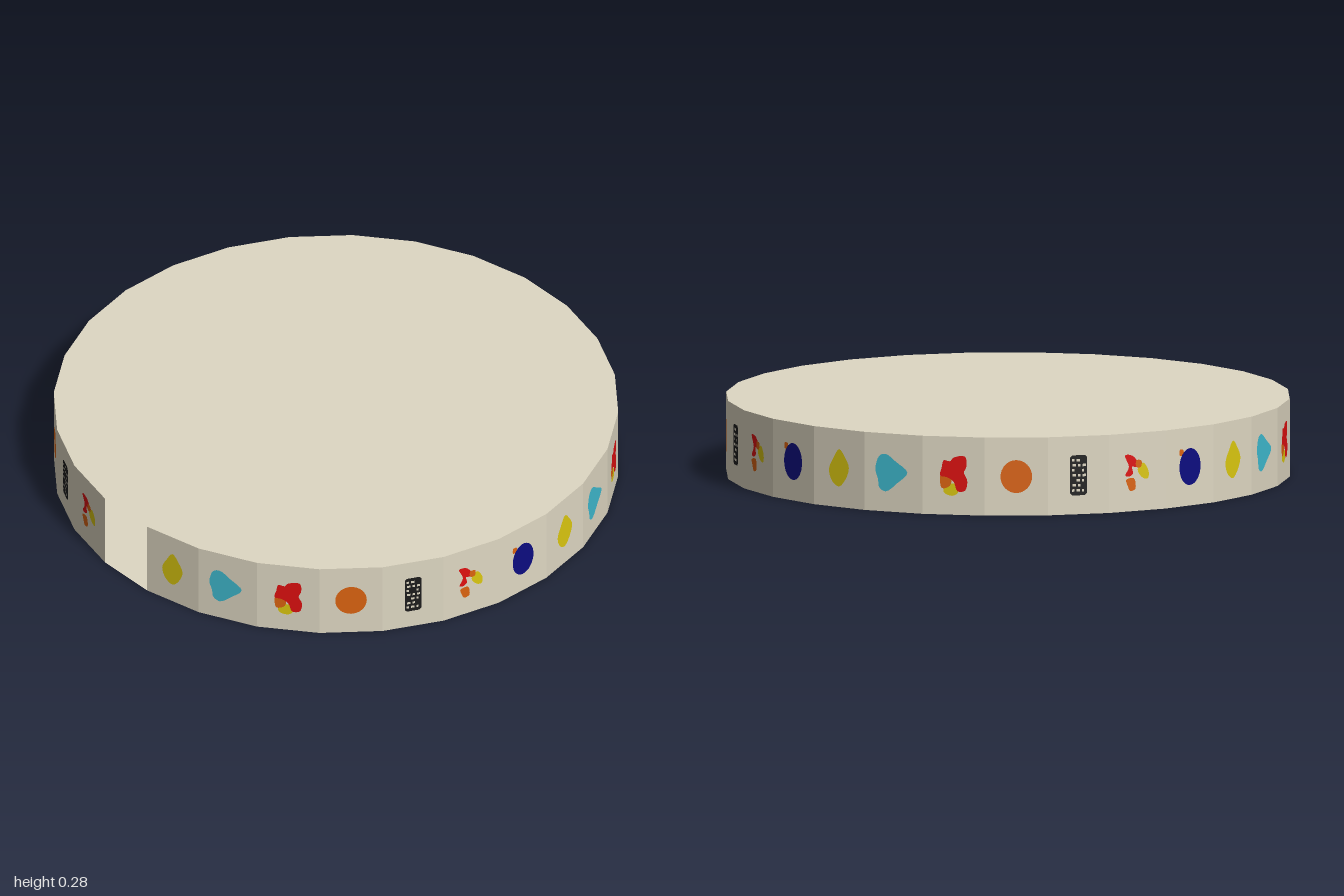
import * as THREE from 'three';

const SIDES = 28, STEP = (Math.PI * 2) / SIDES;
const R = 1.002, H = 0.28;
const START = THREE.MathUtils.degToRad(-29.2); // edge beside the open panel
const APOTHEM = R * Math.cos(STEP / 2), WIDTH = 2 * R * Math.sin(STEP / 2);

const mat = (name, color) => new THREE.MeshStandardMaterial({ name, color, side: THREE.DoubleSide });

// closed smooth outline through a few points
function blob(points) {
  const curve = new THREE.CatmullRomCurve3(points.map(([x, y]) => new THREE.Vector3(x, y, 0)), true);
  return new THREE.ShapeGeometry(new THREE.Shape(curve.getPoints(points.length * 4).map(p => new THREE.Vector2(p.x, p.y))));
}

function oval(rx, ry) {
  return new THREE.ShapeGeometry(new THREE.Shape().absellipse(0, 0, rx, ry, 0, Math.PI * 2), 16);
}

// dark plate pierced by a grid of small uneven slots
function speckledPlate() {
  const w = 0.031, h = 0.072;
  const shape = new THREE.Shape([[-w, -h + 0.008], [-w + 0.008, -h], [w - 0.008, -h], [w, -h + 0.008],
    [w, h - 0.008], [w - 0.008, h], [-w + 0.008, h], [-w, h - 0.008]].map(p => new THREE.Vector2(...p)));
  for (let row = 0; row < 7; row++) {
    for (let col = 0; col < 3; col++) {
      if ((row * 2 + col) % 5 === 4) continue;
      const x = (col - 1) * 0.018 + (row % 2 ? 0.002 : -0.002), y = (row - 3) * 0.018;
      const a = 0.004 + ((row + col) % 2) * 0.002, b = 0.0045;
      shape.holes.push(new THREE.Path([[x - a, y - b], [x - a, y + b], [x + a, y + b], [x + a, y - b]]
        .map(p => new THREE.Vector2(...p))));
    }
  }
  return new THREE.ShapeGeometry(shape);
}

export function createModel() {
  const cream = mat('cream', 0xdfd8c3);
  const yellow = mat('yellow', 0xdcc810);
  const cyan = mat('cyan', 0x3fbbd0);
  const red = mat('red', 0xe01010);
  const orange = mat('orange', 0xdc6410);
  const black = mat('black', 0x1c1c1c);
  const blue = mat('navy', 0x0c0c80);

  // seven painted motifs, repeated around the rim; y is measured from mid height
  const motifs = [
    { name: 'yellowLeaf', parts: [[blob([[0, 0.068], [0.025, 0.042], [0.043, 0.005], [0.03, -0.035], [0, -0.066],
      [-0.03, -0.05], [-0.045, -0.008], [-0.025, 0.035]]), yellow]] },
    { name: 'cyanDrop', parts: [[blob([[-0.055, 0.058], [-0.03, 0.066], [0.01, 0.04], [0.054, 0.004], [0.015, -0.036],
      [-0.03, -0.068], [-0.055, -0.055], [-0.06, -0.025], [-0.07, 0.01]]), cyan]] },
    { name: 'redCluster', parts: [
      [blob([[-0.028, -0.03], [0.02, -0.035], [0.015, -0.062], [-0.005, -0.072], [-0.035, -0.06]]), yellow],
      [blob([[-0.045, 0.005], [-0.01, 0.0], [-0.012, -0.035], [-0.042, -0.045]]), orange],
      [blob([[0.0, 0.065], [0.042, 0.07], [0.047, 0.035], [0.038, 0.012], [0.05, -0.015], [0.042, -0.052], [0.015, -0.055],
        [0.0, -0.02], [-0.025, -0.005], [-0.048, 0.0], [-0.042, 0.03], [-0.035, 0.055], [-0.012, 0.052]]), red]] },
    { name: 'orangeSpot', parts: [[oval(0.056, 0.059), orange]] },
    { name: 'speckledPlate', parts: [[speckledPlate(), black]] },
    { name: 'brokenArc', parts: [
      [blob([[-0.05, 0.062], [-0.022, 0.06], [0, 0.035], [-0.004, 0.018], [-0.022, 0.02], [-0.018, -0.005], [-0.035, -0.015],
        [-0.048, -0.01], [-0.034, 0.02]]), red],
      [blob([[0.0, 0.008], [0.022, 0.032], [0.044, 0.0], [0.04, -0.026], [0.02, -0.022]]), yellow],
      [blob([[-0.046, -0.026], [-0.015, -0.022], [-0.01, -0.06], [-0.03, -0.066], [-0.04, -0.048]]), orange],
      [blob([[-0.006, 0.042], [0.014, 0.04], [0.012, 0.018], [-0.006, 0.018]]), orange]] },
    { name: 'navySpot', parts: [
      [blob([[-0.046, 0.064], [-0.03, 0.062], [-0.03, 0.045], [-0.046, 0.042]]), orange],
      [oval(0.049, 0.066), blue]] },
  ];

  const model = new THREE.Group();
  model.name = 'facetedDrum';

  // top and bottom discs
  const addCap = (name, y, tilt, start) => {
    const cap = new THREE.Mesh(new THREE.CircleGeometry(R, SIDES, start), cream);
    cap.name = name;
    cap.rotation.x = tilt;
    cap.position.y = y;
    model.add(cap);
  };
  addCap('topDisc', H, -Math.PI / 2, START);
  addCap('bottomDisc', 0, Math.PI / 2, -START);

  // rim panels; the last one is left open
  const panelGeometry = new THREE.PlaneGeometry(WIDTH, H);
  for (let i = 0; i < SIDES - 1; i++) {
    const pivot = new THREE.Group();
    pivot.name = 'rimSection';
    pivot.rotation.y = START + (i + 0.5) * STEP;
    model.add(pivot);

    const panel = new THREE.Mesh(panelGeometry, cream);
    panel.name = 'rimPanel';
    panel.position.set(0, H / 2, APOTHEM);
    pivot.add(panel);

    // the motif shows on both the outer and inner face
    const motif = motifs[i % 7];
    for (const side of [1, -1]) {
      motif.parts.forEach(([geometry, material], layer) => {
        const mark = new THREE.Mesh(geometry, material);
        mark.name = motif.name;
        mark.position.z = side * (0.0015 + layer * 0.001);
        panel.add(mark);
      });
    }
  }
  return model;
}
